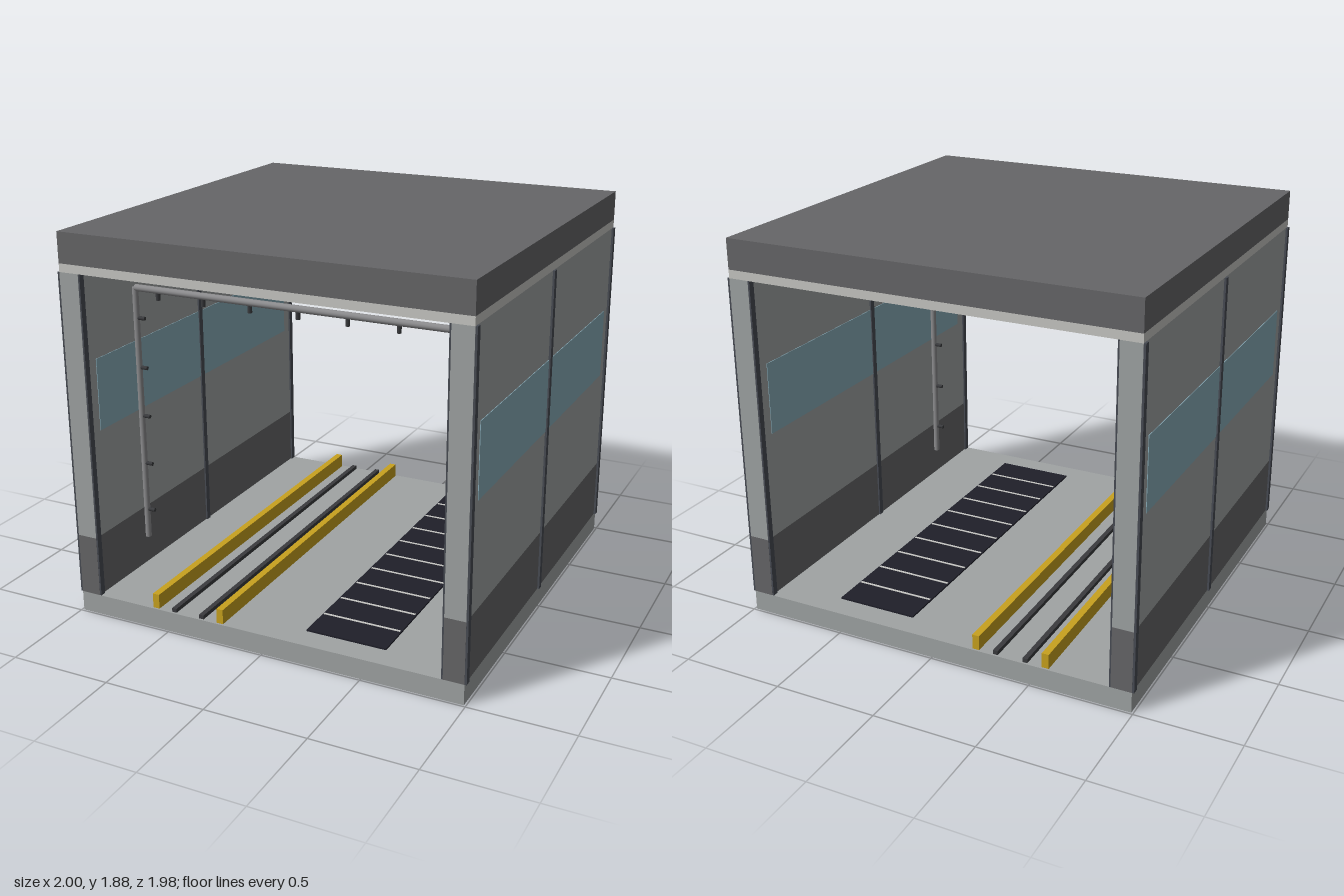
import * as THREE from 'three';

const mat = (name, color, opts = {}) => {
  const m = new THREE.MeshStandardMaterial({ color, ...opts });
  m.name = name;
  return m;
};

export function createModel() {
  const root = new THREE.Group();
  root.name = 'washBay';

  const concrete = mat('pale concrete', 0xa0a4a4);
  const darkPanel = mat('dark grey panel', 0x666668);
  const trim = mat('light trim', 0xc8c8c4);
  const frame = mat('slate frame', 0x484c54);
  const glass = mat('blue glass', 0x8aaebb);
  const yellow = mat('guide yellow', 0xc9a21e);
  const steel = mat('steel', 0x8c8c8e);
  const dark = mat('dark fittings', 0x3a3b3e);
  const grate = mat('drain black', 0x1f1f29);
  const lamp = mat('warm lamp', 0xe0d8c2);

  const add = (name, geo, m, x, y, z, parent = root) => {
    const mesh = new THREE.Mesh(geo, m);
    mesh.name = name;
    mesh.position.set(x, y, z);
    parent.add(mesh);
    return mesh;
  };
  // Box given by its limits on each axis
  const box = (name, m, [x0, x1], [y0, y1], [z0, z1], parent) =>
    add(name, new THREE.BoxGeometry(Math.abs(x1 - x0), y1 - y0, z1 - z0), m,
      (x0 + x1) / 2, (y0 + y1) / 2, (z0 + z1) / 2, parent);

  const E = 0.99; // half extent of the bay
  const full = [-E, E];

  // Floor, ceiling slab and roof
  box('floor', concrete, full, [0, 0.1], full);
  box('ceiling', trim, full, [1.69, 1.73], full);
  box('roof', darkPanel, full, [1.73, 1.875], full);

  // Side walls with window band, posts, blower and ceiling lamp
  for (const s of [-1, 1]) {
    const side = new THREE.Group();
    side.name = s > 0 ? 'leftSide' : 'rightSide';
    root.add(side);
    const xs = (a, b) => [s * a, s * b];
    box('lowerWall', darkPanel, xs(0.89, E), [0.1, 0.4], full, side);
    box('upperWall', concrete, xs(0.89, E), [0.4, 1.69], full, side);
    box('window', glass, xs(0.887, 0.993), [0.92, 1.27], [-0.9, 0.9], side);
    for (const z of [-0.974, 0, 0.974])
      box('post', frame, xs(0.882, 1), [0.1, 1.69], [z - 0.015, z + 0.015], side);

    box('blower', frame, xs(0.47, 0.89), [1.61, 1.685], [-0.44, -0.36], side);
    add('blowerNozzle', new THREE.CylinderGeometry(0.05, 0.05, 0.06, 12), frame, s * 0.57, 1.585, -0.4, side);
    box('ceilingLamp', lamp, xs(0.425, 0.47), [1.68, 1.69], [-0.9, 0.9], side);
  }

  // Spray arch: two uprights, a top bar and nozzles
  const arch = new THREE.Group();
  arch.name = 'sprayArch';
  arch.position.z = 0.59;
  root.add(arch);
  const bar = add('archTop', new THREE.CylinderGeometry(0.017, 0.017, 1.73, 12), steel, 0, 1.538, 0, arch);
  bar.rotation.z = Math.PI / 2;
  for (let i = -3; i <= 3; i++)
    add('topNozzle', new THREE.CylinderGeometry(0.011, 0.011, 0.035, 8), dark, i * 0.247, 1.507, 0, arch);
  for (const s of [-1, 1]) {
    add('archUpright', new THREE.CylinderGeometry(0.015, 0.015, 1.29, 12), steel, s * 0.868, 0.895, 0, arch);
    for (let i = 0; i < 5; i++) {
      const n = add('sideNozzle', new THREE.CylinderGeometry(0.01, 0.01, 0.035, 8), dark,
        s * 0.839, 0.4 + i * 0.2475, 0, arch);
      n.rotation.z = Math.PI / 2;
    }
  }

  // Wheel guides and conveyor track
  for (const x of [-0.573, -0.225])
    box('wheelGuide', yellow, [x - 0.017, x + 0.017], [0.1, 0.172], [-0.98, 0.98]);
  for (const x of [-0.473, -0.325])
    box('conveyorRail', dark, [x - 0.012, x + 0.012], [0.1, 0.12], [-0.98, 0.98]);

  // Drain with cross bars
  box('drain', grate, [0.17, 0.57], [0.1, 0.108], [-0.87, 0.87]);
  for (let i = -4; i <= 4; i++)
    box('drainBar', trim, [0.175, 0.565], [0.108, 0.11], [i * 0.175 - 0.006, i * 0.175 + 0.006]);

  return root;
}
